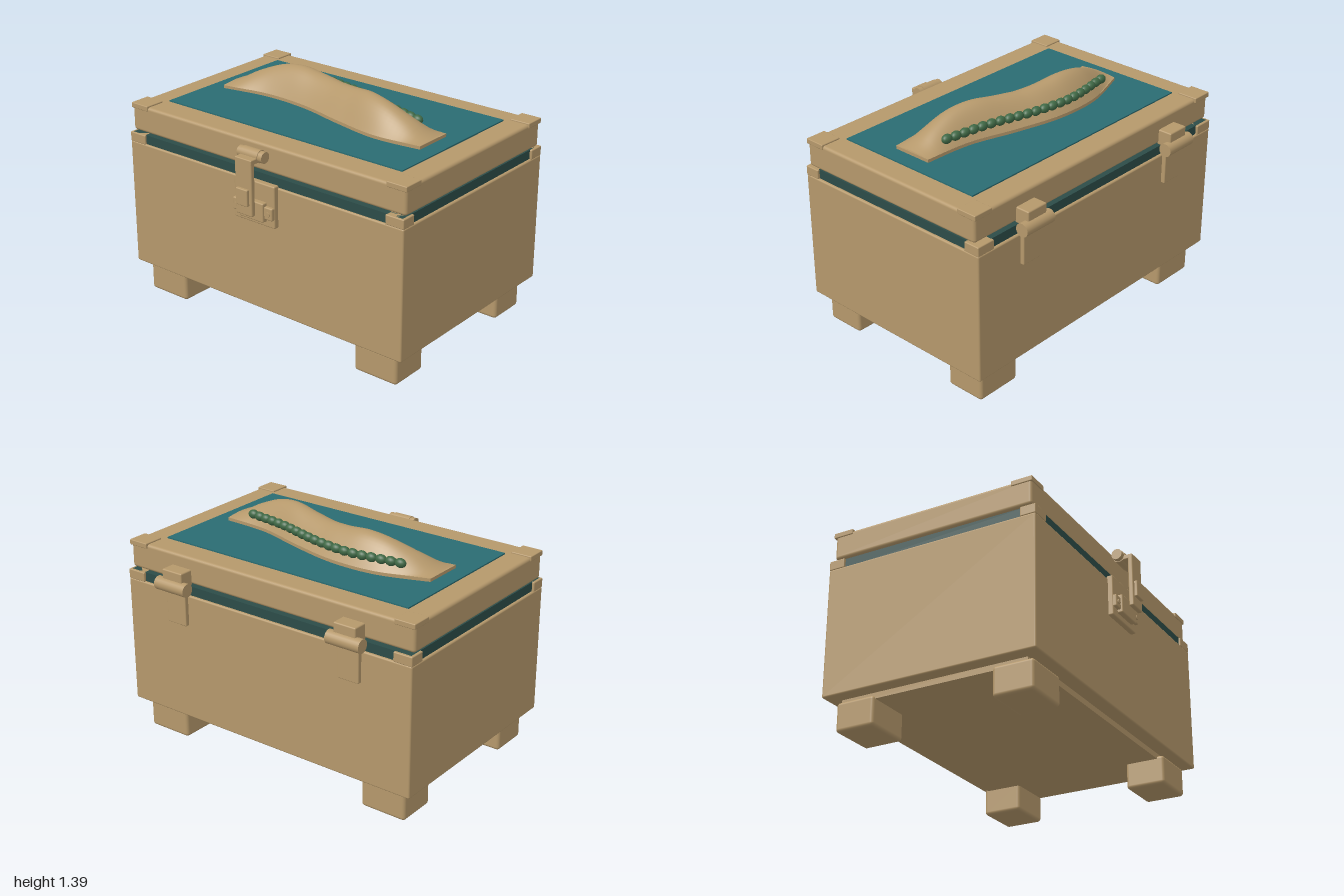
import * as THREE from 'three';
import { RoundedBoxGeometry } from 'three/addons/geometries/RoundedBoxGeometry.js';

const material = (name, color) => Object.assign(new THREE.MeshStandardMaterial({ color }), { name });

export function createModel() {
  const tan = material('tan', 0xb5986b);
  const teal = material('teal', 0x2a6c72);
  const dark = material('dark teal', 0x2c4c48);
  const green = material('green', 0x3f6845);
  const model = new THREE.Group();
  model.name = 'chest';

  const add = (name, geometry, mat, parent = model) => {
    const mesh = new THREE.Mesh(geometry, mat);
    mesh.name = name;
    parent.add(mesh);
    return mesh;
  };
  // Box from its bounds, with rounded edges when r > 0
  const box = (name, x0, x1, y0, y1, z0, z1, r = 0, mat = tan) => {
    const size = [x1 - x0, y1 - y0, z1 - z0];
    const geo = r ? new RoundedBoxGeometry(...size, 3, r) : new THREE.BoxGeometry(...size);
    add(name, geo, mat).position.set((x0 + x1) / 2, (y0 + y1) / 2, (z0 + z1) / 2);
  };
  // Horizontal rod along x
  const rod = (name, x, y, z, r, length) => {
    const geo = new THREE.CylinderGeometry(r, r, length, 24).rotateZ(Math.PI / 2);
    add(name, geo, tan).position.set(x, y, z);
  };

  // Body, plinth, seal and lid
  box('body', -1, 1, 0.19, 0.975, -0.69, 0.64, 0.01);
  box('plinth', -0.92, 0.92, 0.155, 0.2, -0.61, 0.55);
  box('seal', -0.985, 0.985, 0.97, 1.03, -0.675, 0.628, 0, dark);
  box('lid', -0.995, 0.995, 1.037, 1.198, -0.66, 0.615, 0.018);
  box('lidPanel', -0.85, 0.85, 1.197, 1.206, -0.51, 0.455, 0, teal);

  // Feet and corner fittings
  for (const s of [-1, 1]) {
    const sideBox = (name, a, b, ...rest) => box(name, Math.min(s * a, s * b), Math.max(s * a, s * b), ...rest);
    sideBox('rearFoot', 0.645, 0.935, 0, 0.175, -0.635, -0.39, 0.02);
    sideBox('frontFoot', 0.645, 0.935, 0, 0.175, 0.345, 0.59, 0.02);
    sideBox('rearRimCorner', 0.88, 1, 0.972, 1.03, -0.69, -0.59, 0.006);
    sideBox('frontRimCorner', 0.88, 1, 0.972, 1.03, 0.545, 0.64, 0.006);
    sideBox('rearLidCorner', 0.87, 1, 1.175, 1.207, -0.67, -0.543, 0.005);
    sideBox('frontLidCorner', 0.87, 1, 1.175, 1.207, 0.49, 0.62, 0.005);

    // Hinges on the back
    sideBox('hingeBlock', 0.535, 0.68, 1.03, 1.125, -0.745, -0.65, 0.008);
    sideBox('hingeLeaf', 0.54, 0.68, 0.79, 1.0, -0.715, -0.68, 0.006);
    rod('hingeBarrel', s * 0.61, 1.03, -0.735, 0.04, 0.22);

    // Screws of the latch
    const screw = add('latchScrew', new THREE.CylinderGeometry(0.014, 0.014, 0.01, 12).rotateX(Math.PI / 2), tan);
    screw.position.set(s * 0.117, 0.825, 0.692);
  }

  // Latch on the front
  box('latchPlate', -0.148, 0.148, 0.738, 0.99, 0.63, 0.67, 0.008);
  box('latchKeeper', -0.145, 0.145, 0.79, 0.865, 0.66, 0.69, 0.008);
  box('latchKeeperBlock', -0.09, 0.09, 0.77, 0.885, 0.66, 0.702, 0.008);
  box('latchLever', -0.06, 0.06, 0.815, 1.15, 0.727, 0.757, 0.008);
  box('latchArm', -0.06, 0.06, 1.12, 1.15, 0.68, 0.757, 0.006);
  box('latchGrip', -0.042, 0.042, 0.877, 0.977, 0.75, 0.775, 0.006);
  rod('latchRod', 0, 1.15, 0.673, 0.033, 0.18);
  rod('latchPin', 0, 1.15, 0.673, 0.037, 0.12);

  // Wavy raised ornament: edge curves in plan and ridge height along x
  const spline = (pairs) => new THREE.SplineCurve(pairs.map((p) => new THREE.Vector2(...p)));
  const backEdge = spline([[-0.75, -0.155], [-0.45, -0.25], [-0.15, -0.255], [0.15, -0.19], [0.45, -0.105], [0.75, -0.085]]);
  const frontEdge = spline([[-0.75, 0.095], [-0.45, 0.045], [-0.15, 0.063], [0.15, 0.133], [0.45, 0.187], [0.75, 0.162]]);
  const ridge = spline([[0, 0.14], [0.15, 0.15], [0.3, 0.164], [0.45, 0.143], [0.6, 0.085], [0.75, 0.01]]);

  const crest = new THREE.PlaneGeometry(1.5, 2, 48, 20).rotateX(-Math.PI / 2);
  const pos = crest.attributes.position;
  for (let i = 0; i < pos.count; i++) {
    const x = pos.getX(i), v = pos.getZ(i), t = (x + 0.75) / 1.5;
    const height = ridge.getPoint(Math.min(1, Math.abs(x) / 0.75)).y;
    pos.setY(i, 1.225 + height * Math.cos((v * Math.PI) / 2));
    pos.setZ(i, THREE.MathUtils.lerp(backEdge.getPoint(t).y, frontEdge.getPoint(t).y, (v + 1) / 2));
  }
  crest.computeVertexNormals();
  tan.side = THREE.DoubleSide;
  add('waveCrest', crest, tan);

  const flip = (p) => new THREE.Vector2(p.x, -p.y);
  const outline = [...frontEdge.getPoints(40).map(flip), ...backEdge.getPoints(40).map(flip).reverse()];
  const slab = new THREE.ExtrudeGeometry(new THREE.Shape(outline), { depth: 0.02, bevelEnabled: false });
  add('waveBase', slab.rotateX(-Math.PI / 2), tan).position.y = 1.205;

  // String of beads along the rear slope
  const beadPath = new THREE.CatmullRomCurve3([
    [-0.575, 1.285, -0.19], [-0.25, 1.287, -0.233], [0, 1.287, -0.2], [0.3, 1.285, -0.115], [0.575, 1.275, -0.055],
  ].map((p) => new THREE.Vector3(...p)));
  const beads = new THREE.Group();
  beads.name = 'beads';
  model.add(beads);
  const beadGeo = new THREE.SphereGeometry(0.029, 16, 12).scale(1.2, 0.95, 0.9);
  for (const p of beadPath.getSpacedPoints(20)) add('bead', beadGeo, green, beads).position.copy(p);

  return model;
}
